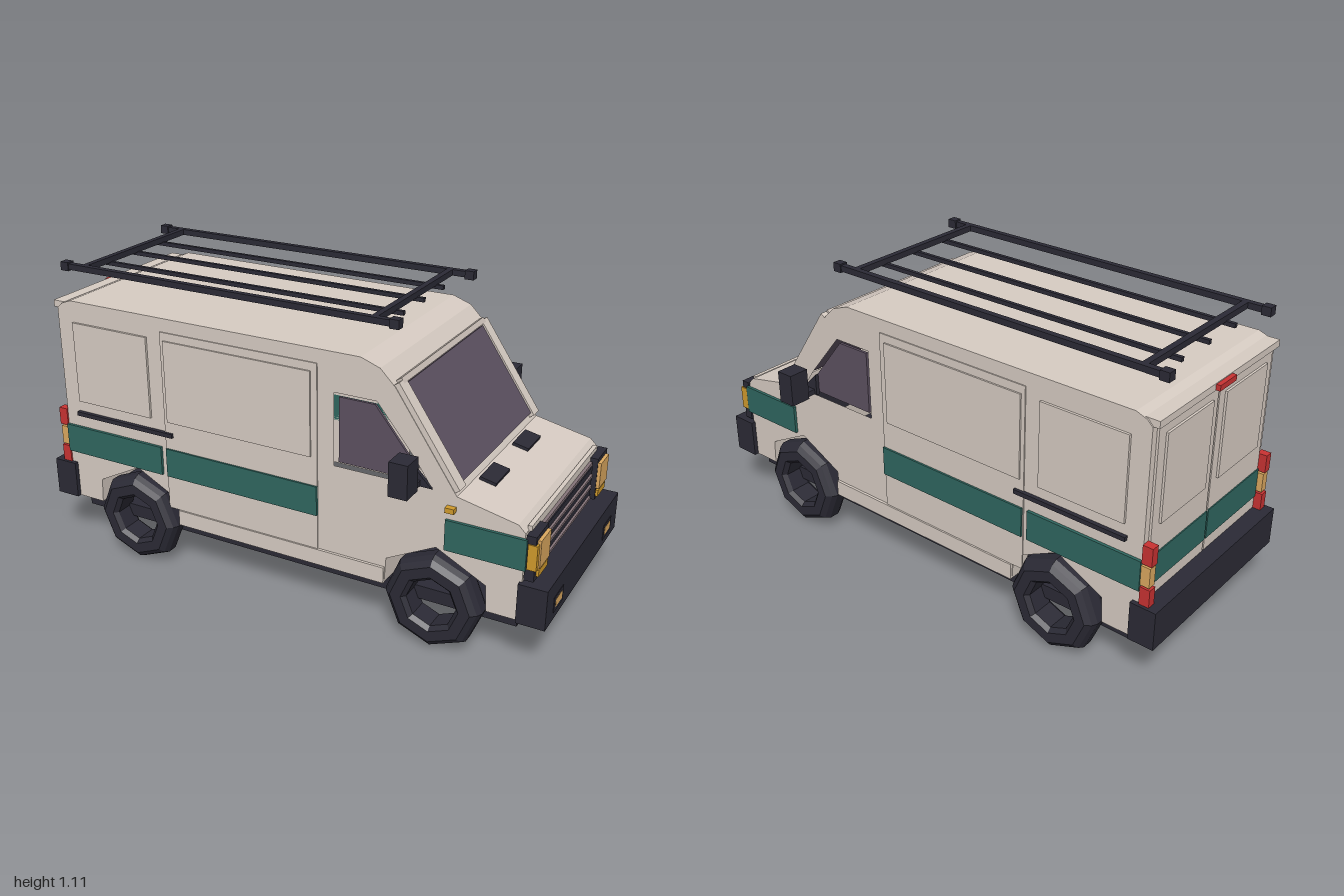
import * as THREE from 'three';

const mat = (color) => new THREE.MeshStandardMaterial({ color, flatShading: true });
const cream = mat(0xd6cbc2), trim = mat(0xc9beb6), dark = mat(0x2b2a35), teal = mat(0x2f665f);
const glass = mat(0x5c5060), grilleGrey = mat(0x857479), amber = mat(0xdba85f), orange = mat(0xd09a2c), red = mat(0xc83232);

export function createModel() {
  const van = new THREE.Group();
  van.name = 'van';

  const add = (name, geometry, material, parent = van) => {
    const mesh = new THREE.Mesh(geometry, material);
    mesh.name = name;
    parent.add(mesh);
    return mesh;
  };
  // box given by its limits on each axis
  const box = (name, m, x0, x1, y0, y1, z0, z1) => {
    const mesh = add(name, new THREE.BoxGeometry(x1 - x0, y1 - y0, z1 - z0), m);
    mesh.position.set((x0 + x1) / 2, (y0 + y1) / 2, (z0 + z1) / 2);
    return mesh;
  };
  // the same box on both sides of the van
  const pair = (name, m, x0, x1, y0, y1, z0, z1) => {
    box(name, m, x0, x1, y0, y1, z0, z1);
    box(name, m, x0, x1, y0, y1, -z1, -z0);
  };
  const points = (list) => list.map(([x, y]) => new THREE.Vector2(x, y));
  // side outline extruded from z0 to z1
  const slab = (name, m, outline, z0, z1, hole) => {
    const shape = new THREE.Shape(points(outline));
    if (hole) shape.holes.push(new THREE.Path(points(hole)));
    const g = new THREE.ExtrudeGeometry(shape, { depth: z1 - z0, bevelEnabled: false });
    return add(name, g.translate(0, 0, z0), m);
  };

  // body with wheel arches and side window openings
  const arch = (x) => [[x + 0.185, 0.19], [x + 0.18, 0.285], [x, 0.378], [x - 0.18, 0.285], [x - 0.185, 0.19]];
  slab('body', cream, [
    [-0.93, 0.19], [-0.93, 0.955], [-0.91, 0.975], [-0.87, 0.99], [0.32, 0.99], [0.39, 0.965], [0.445, 0.91],
    [0.67, 0.58], [0.88, 0.535], [0.905, 0.51], [0.905, 0.19], ...arch(0.605), ...arch(-0.61),
  ], -0.37, 0.37, [[0.225, 0.585], [0.225, 0.85], [0.38, 0.85], [0.52, 0.68], [0.585, 0.585]]);

  // underbody
  box('chassis', dark, -0.89, 0.885, 0.138, 0.188, -0.33, 0.33);
  box('rearAxle', dark, -0.8, -0.42, 0.2, 0.24, -0.29, 0.29);
  pair('sill', cream, -0.425, 0.42, 0.19, 0.25, 0.37, 0.38);

  // windscreen parts lie along the slope of the front
  const slope = Math.atan2(0.58 - 0.91, 0.67 - 0.445);
  const sloped = (name, m, x, y, length, thick, z, width) => {
    const mesh = add(name, new THREE.BoxGeometry(length, thick, width), m);
    mesh.position.set(x, y, z);
    mesh.rotation.z = slope;
  };
  sloped('windscreen', glass, 0.555, 0.755, 0.365, 0.02, 0, 0.635);
  for (const s of [-1, 1]) sloped('windscreenPillar', cream, 0.553, 0.755, 0.395, 0.035, s * 0.343, 0.05);
  sloped('windscreenHeader', trim, 0.445, 0.918, 0.02, 0.03, 0, 0.685);

  for (const s of [-1, 1]) {
    // side windows
    const z = s * 0.36;
    slab('sideWindow', glass, [[0.24, 0.6], [0.24, 0.835], [0.372, 0.835], [0.505, 0.67], [0.505, 0.6]], z - 0.005, z + 0.005);
    slab('windowCorner', dark, [[0.5, 0.59], [0.5, 0.675], [0.585, 0.59]], s * 0.372 - 0.007, s * 0.372 + 0.007);

    // wheels: eight-sided open rings
    for (const x of [-0.61, 0.605]) {
      const profile = points([
        [0.09, -0.04], [0.105, -0.056], [0.145, -0.056], [0.165, -0.04], [0.175, -0.02],
        [0.175, 0.02], [0.165, 0.04], [0.145, 0.056], [0.105, 0.056], [0.09, 0.04], [0.09, -0.04],
      ]);
      const wheel = add('wheel', new THREE.LatheGeometry(profile, 8), dark);
      wheel.material.side = THREE.DoubleSide;
      wheel.rotation.x = Math.PI / 2;
      wheel.position.set(x, 0.178, s * 0.354);
    }
  }

  // side panels, sliding door, stripes and rail
  pair('slidingDoor', cream, -0.47, 0.162, 0.25, 0.94, 0.37, 0.374);
  pair('rearSidePanel', cream, -0.86, -0.53, 0.6, 0.91, 0.37, 0.379);
  pair('slidingDoorPanel', cream, -0.455, 0.138, 0.6, 0.91, 0.374, 0.38);
  for (const [x0, x1] of [[-0.93, -0.49], [-0.467, 0.162], [0.637, 0.915]])
    pair('sideStripe', teal, x0, x1, 0.382, 0.493, 0.37, 0.381);
  pair('doorRail', dark, -0.87, -0.435, 0.542, 0.558, 0.37, 0.385);
  pair('sideMarker', orange, 0.638, 0.67, 0.525, 0.543, 0.365, 0.392);

  // mirrors
  pair('mirrorArm', dark, 0.51, 0.545, 0.592, 0.612, 0.37, 0.45);
  pair('mirror', dark, 0.49, 0.557, 0.597, 0.718, 0.425, 0.504);

  // hood vents, nose and grille
  for (const s of [-1, 1]) {
    const vent = add('hoodVent', new THREE.BoxGeometry(0.06, 0.014, 0.125), dark);
    vent.position.set(0.712, 0.575, s * 0.152);
    vent.rotation.z = -0.21;
  }
  box('nosePanel', cream, 0.9, 0.915, 0.33, 0.525, -0.34, 0.34);
  box('grilleFrame', grilleGrey, 0.91, 0.926, 0.345, 0.497, -0.257, 0.257);
  box('grille', dark, 0.92, 0.93, 0.357, 0.486, -0.247, 0.247);
  for (const y of [0.371, 0.416, 0.458]) box('grilleSlat', grilleGrey, 0.925, 0.938, y - 0.005, y + 0.005, -0.23, 0.23);

  // headlights and turn signals
  pair('headlightHousing', dark, 0.91, 0.943, 0.347, 0.508, 0.265, 0.374);
  pair('headlight', amber, 0.935, 0.955, 0.393, 0.492, 0.268, 0.36);
  pair('turnSignal', orange, 0.935, 0.952, 0.36, 0.384, 0.27, 0.355);
  pair('cornerLight', orange, 0.918, 0.95, 0.39, 0.48, 0.36, 0.379);

  // bumpers and fog lights
  box('frontBumper', dark, 0.897, 0.997, 0.19, 0.335, -0.387, 0.387);
  box('rearBumper', dark, -1, -0.905, 0.19, 0.333, -0.387, 0.387);
  pair('fogLightHousing', dark, 0.99, 0.999, 0.217, 0.275, 0.222, 0.314);
  pair('fogLight', amber, 0.99, 1.0, 0.232, 0.262, 0.236, 0.3);

  // rear doors, tail lights and high brake light
  pair('rearDoor', cream, -0.938, -0.925, 0.335, 0.95, 0.004, 0.345);
  pair('rearDoorPanel', cream, -0.946, -0.935, 0.6, 0.915, 0.04, 0.305);
  pair('rearStripe', teal, -0.942, -0.93, 0.382, 0.493, 0.004, 0.345);
  box('rearRoofLip', cream, -0.95, -0.9, 0.955, 0.98, -0.365, 0.365);
  box('highBrakeLight', red, -0.966, -0.94, 0.957, 0.977, -0.05, 0.05);
  pair('tailLight', red, -0.967, -0.93, 0.485, 0.553, 0.345, 0.376);
  pair('rearSignal', amber, -0.963, -0.93, 0.405, 0.478, 0.345, 0.376);
  pair('tailLight', red, -0.967, -0.93, 0.33, 0.398, 0.345, 0.376);

  // roof rack
  pair('rackRail', dark, -0.92, 0.42, 1.087, 1.109, 0.294, 0.316);
  for (const x of [-0.925, 0.41]) pair('rackRailEnd', dark, x - 0.017, x + 0.017, 1.082, 1.114, 0.288, 0.32);
  for (const x of [-0.845, 0.332]) box('rackCrossBar', dark, x - 0.011, x + 0.011, 1.087, 1.109, -0.3, 0.3);
  for (const z of [-0.16, 0, 0.16]) box('rackSlat', dark, -0.89, 0.37, 1.075, 1.09, z - 0.007, z + 0.007);

  return van;
}
